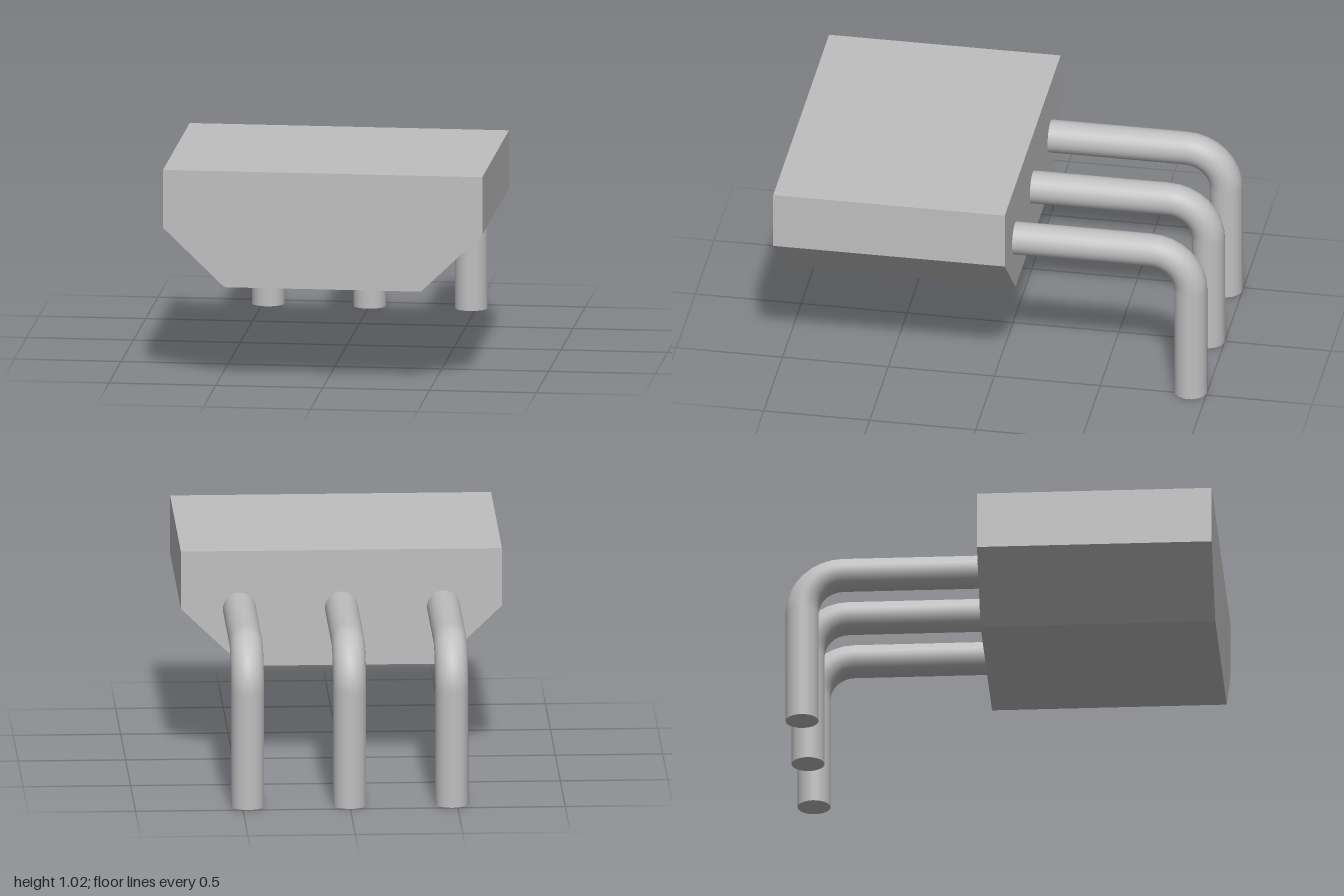
import * as THREE from 'three';
import { mergeGeometries } from 'three/addons/utils/BufferGeometryUtils.js';

const BACK = -0.093, FRONT = 1;      // body extent in z
const R = 0.077, BEND = 0.19;        // pin radius, bend centreline radius
const PIN_Y = 0.741, PIN_Z = -0.923; // centrelines of the two straight runs
const SIDES = 24;

// Block with chamfered lower edges
function bodyGeometry() {
  const shape = new THREE.Shape([
    [-0.747, 1.017], [-0.747, 0.743], [-0.46, 0.467],
    [0.46, 0.467], [0.747, 0.743], [0.747, 1.017],
  ].map(([x, y]) => new THREE.Vector2(x, y)));
  return new THREE.ExtrudeGeometry(shape, { depth: FRONT - BACK, bevelEnabled: false })
    .translate(0, 0, BACK);
}

// Round pin: horizontal run, quarter bend, vertical run, flat foot
function pinGeometry() {
  const bendY = PIN_Y - BEND, bendZ = PIN_Z + BEND;
  const run = BACK - bendZ;
  const horizontal = new THREE.CylinderGeometry(R, R, run, SIDES, 1, true)
    .rotateX(Math.PI / 2).translate(0, PIN_Y, bendZ + run / 2);
  const bend = new THREE.TorusGeometry(BEND, R, SIDES, 8, Math.PI / 2)
    .rotateY(Math.PI / 2).translate(0, bendY, bendZ);
  const vertical = new THREE.CylinderGeometry(R, R, bendY, SIDES, 1, true)
    .translate(0, bendY / 2, PIN_Z);
  const foot = new THREE.CircleGeometry(R, SIDES)
    .rotateX(Math.PI / 2).translate(0, 0, PIN_Z);
  return mergeGeometries([horizontal, bend, vertical, foot]);
}

export function createModel() {
  const group = new THREE.Group();
  group.name = 'threePinComponent';
  const grey = new THREE.MeshStandardMaterial({ color: 0xbfbfbf });
  grey.name = 'grey';

  const body = new THREE.Mesh(bodyGeometry(), grey);
  body.name = 'body';
  group.add(body);

  // Three equal pins along the back
  const geometry = pinGeometry();
  [['rightPin', -0.475], ['middlePin', 0], ['leftPin', 0.475]].forEach(([name, x]) => {
    const pin = new THREE.Mesh(geometry, grey);
    pin.name = name;
    pin.position.x = x;
    group.add(pin);
  });
  return group;
}
